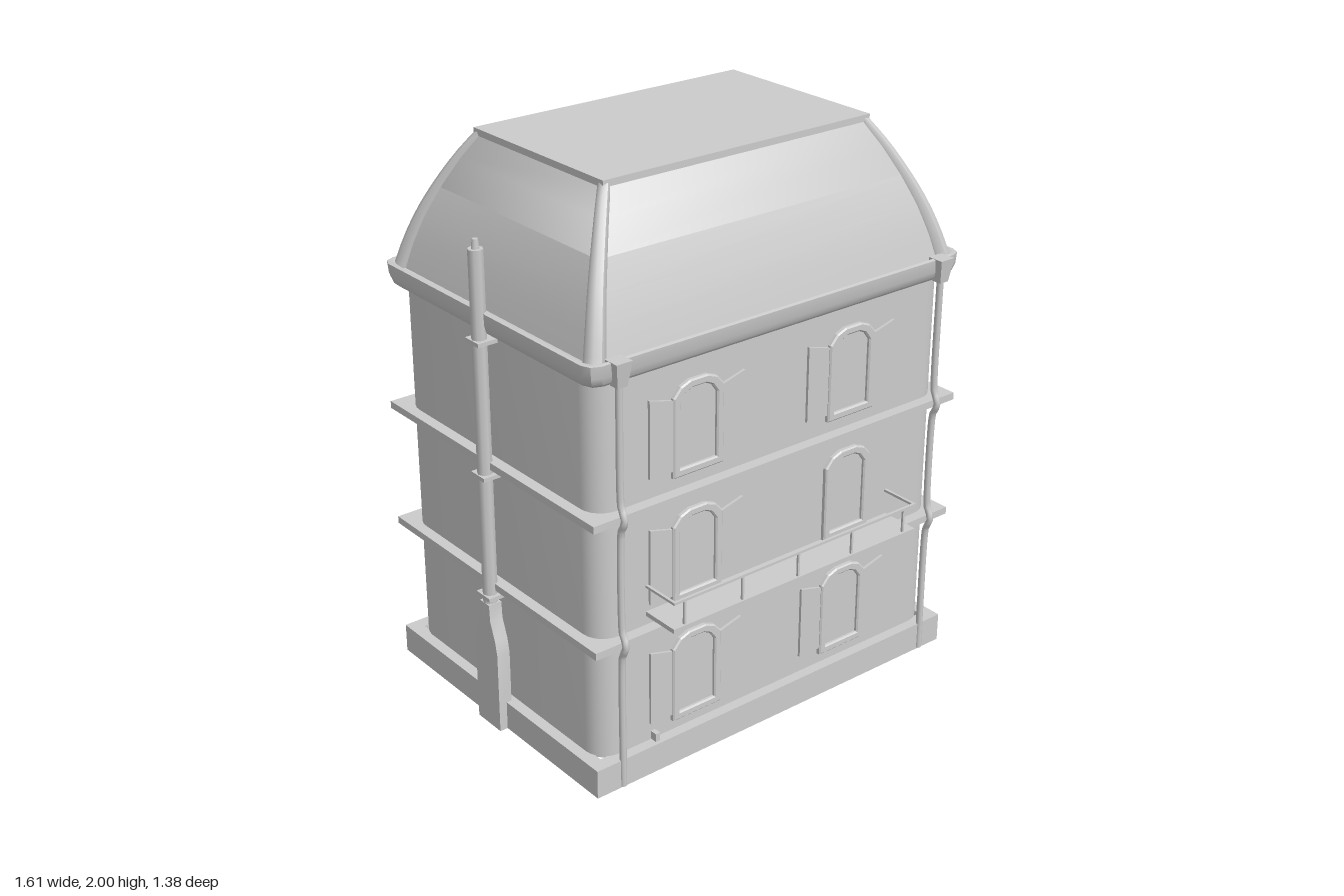
import * as THREE from 'three';
import { toCreasedNormals } from 'three/addons/utils/BufferGeometryUtils.js';

const CX = 0.013, CZ = -0.016; // centre of the house plan
const mat = new THREE.MeshStandardMaterial({ color: 0xcccccc, side: THREE.DoubleSide });

function add(parent, name, geometry, x = 0, y = 0, z = 0) {
  const m = new THREE.Mesh(geometry, mat);
  m.name = name;
  m.position.set(x, y, z);
  parent.add(m);
  return m;
}
const box = (w, h, d) => new THREE.BoxGeometry(w, h, d);

// Rounded rectangle outline, counter-clockwise
function outline(hx, hz, r, steps) {
  const pts = [];
  [[1, 1], [-1, 1], [-1, -1], [1, -1]].forEach(([sx, sz], c) => {
    for (let i = 0; i <= steps; i++) {
      const a = (c + i / steps) * Math.PI / 2;
      pts.push(new THREE.Vector2(sx * (hx - r) + r * Math.cos(a), sz * (hz - r) + r * Math.sin(a)));
    }
  });
  return pts;
}

// Vertical extrusion of a plan shape
function slab(shape, height) {
  const g = new THREE.ExtrudeGeometry(shape, { depth: height, bevelEnabled: false });
  g.rotateX(-Math.PI / 2);
  return toCreasedNormals(g, 0.7);
}

// Skin through stacked rounded rectangles [halfX, halfZ, y]
function loft(sections, r, steps) {
  const pos = [], idx = [];
  const n = 4 * (steps + 1);
  for (const [hx, hz, y] of sections)
    for (const p of outline(hx, hz, r, steps)) pos.push(p.x, y, -p.y);
  for (let j = 0; j < sections.length - 1; j++)
    for (let i = 0; i < n; i++) {
      const a = j * n + i, b = j * n + (i + 1) % n;
      idx.push(a, b, b + n, a, b + n, a + n);
    }
  const g = new THREE.BufferGeometry();
  g.setAttribute('position', new THREE.Float32BufferAttribute(pos, 3));
  g.setIndex(idx);
  return toCreasedNormals(g, 0.7);
}

// Flat-arched window outline with its foot at y = 0
const arch = (w, h, inset = 0) => {
  const a = w / 2 - inset, t = h - inset;
  return [[-a, inset], [a, inset], [a, t - 0.045], [a * 0.72, t - 0.014], [a * 0.35, t],
    [-a * 0.35, t], [-a * 0.72, t - 0.014], [-a, t - 0.045]].map(p => new THREE.Vector2(...p));
};

// Window on a wall plane z = 0
function addWindow(wall, x, y, shutters) {
  const g = new THREE.Group();
  g.name = 'window';
  g.position.set(x, y, 0);
  wall.add(g);
  const frame = new THREE.Shape(arch(0.195, 0.315));
  frame.holes.push(new THREE.Path(arch(0.195, 0.315, 0.018)));
  add(g, 'windowFrame', new THREE.ExtrudeGeometry(frame, {
    depth: 0.012, bevelThickness: 0.005, bevelSize: 0.005, bevelSegments: 1 }));
  add(g, 'windowPane', new THREE.ExtrudeGeometry(new THREE.Shape(arch(0.195, 0.315, 0.01)), {
    depth: 0.004, bevelEnabled: false }));
  if (!shutters) return;
  for (const s of [-1, 1]) {
    const shape = new THREE.Shape([[0.1, 0.02], [0.193, 0.02], [0.193, 0.29], [0.1, 0.265]]
      .map(([px, py]) => new THREE.Vector2(s * px, py)));
    add(g, 'shutter', new THREE.ExtrudeGeometry(shape, { depth: 0.01, bevelEnabled: false }));
  }
}

// Balcony with a thin rail on a wall plane z = 0
function addBalcony(wall, x, width, posts) {
  const g = new THREE.Group();
  g.name = 'balcony';
  g.position.x = x;
  wall.add(g);
  const depth = 0.145;
  add(g, 'balconyFloor', box(width, 0.016, depth), 0, 0.594, depth / 2);
  add(g, 'balconySupport', box(width - 0.08, 0.018, depth - 0.04), 0, 0.578, (depth - 0.04) / 2);
  add(g, 'frontRail', box(width, 0.009, 0.01), 0, 0.694, depth - 0.005);
  for (const s of [-1, 1]) add(g, 'sideRail', box(0.01, 0.009, depth), s * (width / 2 - 0.005), 0.694, depth / 2);
  for (let i = 0; i < posts; i++)
    add(g, 'railPost', box(0.008, 0.095, 0.008), (i / (posts - 1) - 0.5) * (width - 0.1), 0.645, depth - 0.01);
}

// Rain pipe that steps out around the two bands; s is the facing direction
function addRainPipe(group, x, z, s) {
  const g = new THREE.Group();
  g.name = 'rainPipe';
  g.position.set(x, 0, z);
  group.add(g);
  const path = [[0.005, 0], [0.47, 0], [0.505, 0.004], [0.535, 0.02], [0.555, 0.02], [0.585, 0.004], [0.63, 0], [0.92, 0],
    [0.955, 0.004], [0.985, 0.02], [1.005, 0.02], [1.035, 0.004], [1.08, 0], [1.46, 0]]
    .map(([y, d]) => new THREE.Vector3(0, y, s * d));
  add(g, 'pipe', new THREE.TubeGeometry(new THREE.CatmullRomCurve3(path), 60, 0.012, 8));
  const head = new THREE.CylinderGeometry(0.043, 0.026, 0.085, 4, 1).rotateY(Math.PI / 4).toNonIndexed();
  head.computeVertexNormals();
  add(g, 'pipeHead', head, 0, 1.488, 0);
}

function wallPlane(group, name, x, z, turn) {
  const w = new THREE.Group();
  w.name = name;
  w.position.set(x, 0, z);
  w.rotation.y = turn;
  group.add(w);
  return w;
}

export function createModel() {
  const model = new THREE.Group();
  model.name = 'house';
  const core = new THREE.Group();
  core.name = 'building';
  core.position.set(CX, 0, CZ);
  model.add(core);

  // Hollow plinth, walls and floor bands
  const plinth = new THREE.Shape(outline(0.785, 0.583, 0.001, 1));
  plinth.holes.push(new THREE.Path(outline(0.735, 0.533, 0.001, 1)));
  add(core, 'plinth', slab(plinth, 0.105));
  add(core, 'walls', slab(new THREE.Shape(outline(0.745, 0.545, 0.08, 6)), 1.39), 0, 0.1, 0);
  for (const y of [0.54, 0.992]) add(core, 'floorBand', box(1.57, 0.026, 1.172), 0, y, 0);

  // Rolled gutter
  add(core, 'gutter', loft([[0.735, 0.535, 1.447], [0.762, 0.558, 1.447], [0.776, 0.572, 1.46], [0.784, 0.58, 1.485],
    [0.787, 0.583, 1.527], [0.775, 0.571, 1.53], [0.755, 0.55, 1.515], [0.72, 0.52, 1.51]], 0.045, 2));

  // Bowed mansard roof, top slab and hips
  const roof = [[0.75, 0.55, 1.49], [0.722, 0.522, 1.6], [0.69, 0.488, 1.7], [0.648, 0.445, 1.8],
    [0.598, 0.394, 1.9], [0.55, 0.345, 1.98]];
  add(core, 'roof', loft(roof, 0.001, 1));
  add(core, 'roofTop', box(1.104, 0.025, 0.694), 0, 1.9875, 0);
  for (const sx of [-1, 1]) for (const sz of [-1, 1]) {
    const curve = new THREE.CatmullRomCurve3(roof.map(([x, z, y]) => new THREE.Vector3(sx * (x - 0.015), y, sz * (z - 0.015))));
    const hip = new THREE.TubeGeometry(curve, 12, 1, 8);
    const p = hip.attributes.position;
    // taper from the eaves to the top
    for (let i = 0; i < p.count; i++) {
      const t = Math.floor(i / 9) / 12, c = curve.getPointAt(t), v = new THREE.Vector3().fromBufferAttribute(p, i);
      v.sub(c).multiplyScalar(0.036 - 0.016 * t).add(c);
      p.setXYZ(i, v.x, v.y, v.z);
    }
    hip.computeVertexNormals();
    add(core, 'roofHip', hip);
  }

  // Windows and balconies, wall by wall
  const floors = [0.15, 0.604, 1.055];
  const front = wallPlane(model, 'frontWall', 0, CZ + 0.545, 0);
  floors.forEach((y, i) => {
    addWindow(front, -0.335, y, true);
    addWindow(front, 0.325, y, i !== 1);
  });
  addBalcony(front, -0.005, 1.07, 5);
  add(front, 'wallTap', box(0.018, 0.03, 0.03), -0.513, 0.122, 0.012);

  const back = wallPlane(model, 'backWall', 0, CZ - 0.545, Math.PI);
  addWindow(back, -0.325, floors[1], true);
  addWindow(back, -0.325, floors[2], true);
  addWindow(back, 0.335, floors[0], false);
  addWindow(back, 0.335, floors[1], true);
  addBalcony(back, -0.325, 0.41, 2);

  const side = wallPlane(model, 'sideWall', CX + 0.745, 0, Math.PI / 2);
  addWindow(side, -0.23, floors[1], false);
  addWindow(side, 0.255, floors[0], false);

  // Rain pipes
  addRainPipe(model, -0.665, 0.565, 1);
  addRainPipe(model, 0.7, 0.565, 1);
  addRainPipe(model, -0.025, -0.593, -1);

  // Flue with a bottle-shaped foot, clamps and a cap
  const flue = new THREE.Group();
  flue.name = 'flue';
  flue.position.set(-0.777, 0, -0.015);
  model.add(flue);
  const foot = new THREE.Shape([[-0.065, 0], [0.065, 0], [0.065, 0.3], [0.055, 0.35], [0.03, 0.42], [0.027, 0.48],
    [-0.027, 0.48], [-0.03, 0.42], [-0.055, 0.35], [-0.065, 0.3]].map(p => new THREE.Vector2(...p)));
  const footGeo = new THREE.ExtrudeGeometry(foot, { depth: 0.05, bevelEnabled: false });
  footGeo.translate(0, 0, -0.025).rotateY(Math.PI / 2);
  add(flue, 'flueFoot', toCreasedNormals(footGeo, 0.7));
  add(flue, 'fluePipe', new THREE.CylinderGeometry(0.026, 0.026, 1.3, 8), 0, 1.09, 0);
  add(flue, 'flueCap', new THREE.CylinderGeometry(0.01, 0.014, 0.035, 8), 0, 1.755, 0);
  for (const y of [0.505, 0.955, 1.43]) add(flue, 'flueClamp', box(0.075, 0.014, 0.075), 0.008, y, 0);

  return model;
}
